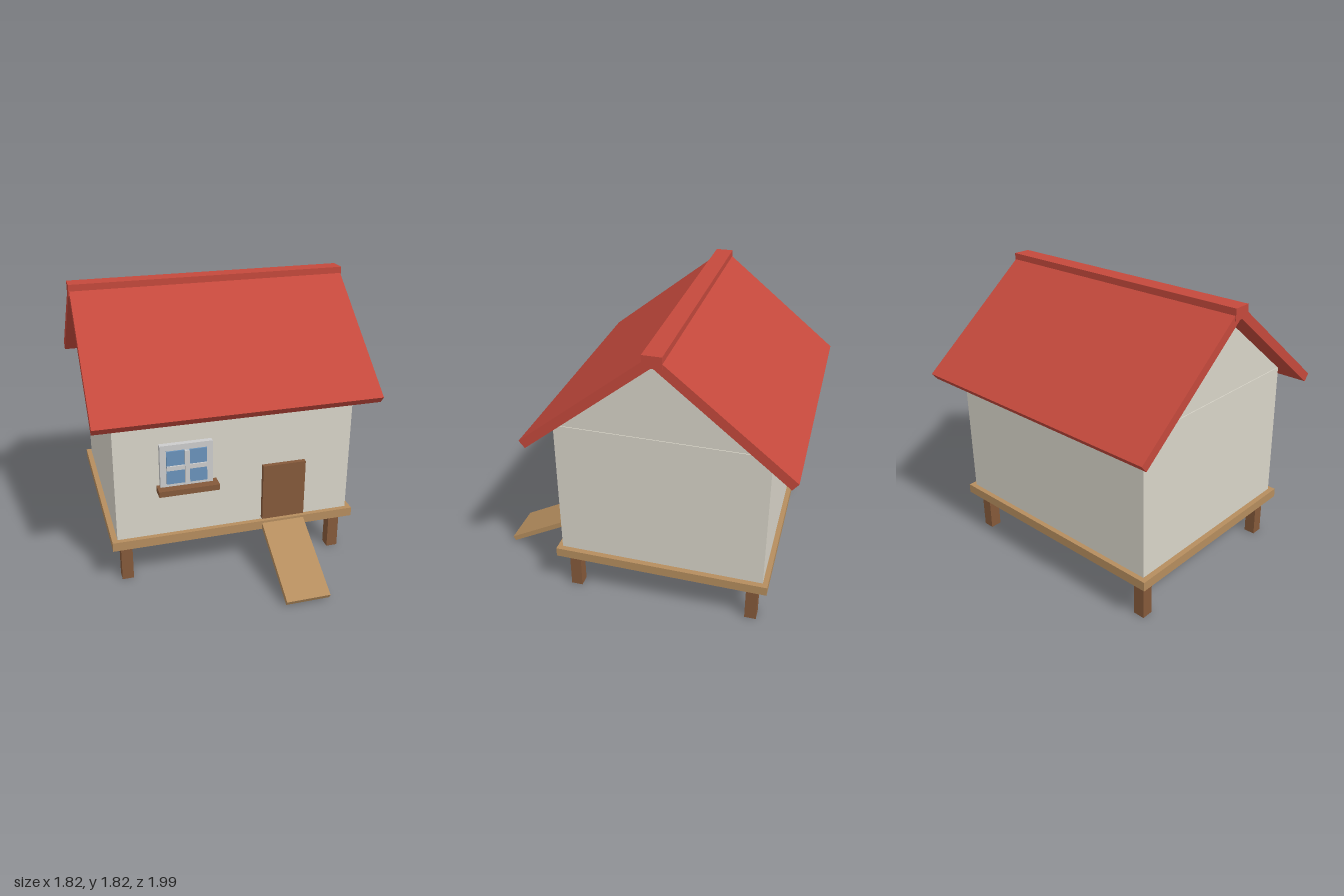
import * as THREE from 'three';

const paint = (color) => new THREE.MeshStandardMaterial({ color });
const MID_Z = -0.18; // the house sits back from the ramp

export function createModel() {
  const house = new THREE.Group();
  house.name = 'henHouse';
  const wall = paint(0xd8d4c8);
  const roof = paint(0xc4493c);
  const plank = paint(0xb58d5e);
  const wood = paint(0x85593a);
  const frame = paint(0xd8d8d6);
  const glass = paint(0x6a93bb);

  // Box given by its limits on each axis
  const block = (name, mat, [x0, x1], [y0, y1], [z0, z1], parent = house) => {
    const mesh = new THREE.Mesh(new THREE.BoxGeometry(x1 - x0, y1 - y0, z1 - z0), mat);
    mesh.position.set((x0 + x1) / 2, (y0 + y1) / 2, (z0 + z1) / 2);
    mesh.name = name;
    parent.add(mesh);
    return mesh;
  };

  // Board whose top edge runs between two (z, y) points, thickness below it
  const board = (name, mat, [x0, x1], a, b, thickness) => {
    const dz = b[0] - a[0], dy = b[1] - a[1];
    const length = Math.hypot(dz, dy);
    const geo = new THREE.BoxGeometry(x1 - x0, thickness, length);
    geo.translate(0, -thickness / 2, length / 2);
    const mesh = new THREE.Mesh(geo, mat);
    mesh.position.set((x0 + x1) / 2, a[1], a[0]);
    mesh.rotation.x = -Math.atan2(dy, dz);
    mesh.name = name;
    house.add(mesh);
    return mesh;
  };

  // Legs and floor
  for (const x of [-0.715, 0.715]) {
    for (const z of [0.4, -0.765]) {
      block('leg', wood, [x - 0.037, x + 0.037], [0, 0.27], [z - 0.037, z + 0.037]);
    }
  }
  block('floor', plank, [-0.81, 0.81], [0.265, 0.325], [-0.862, 0.502]);

  // Walls and gable
  block('walls', wall, [-0.775, 0.775], [0.325, 1.23], [-0.83, 0.47]);
  const triangle = new THREE.Shape([
    new THREE.Vector2(-0.65, 1.23), new THREE.Vector2(0.65, 1.23), new THREE.Vector2(0, 1.752),
  ]);
  const gableGeo = new THREE.ExtrudeGeometry(triangle, { depth: 1.54, bevelEnabled: false });
  gableGeo.translate(0, 0, -0.77).rotateY(Math.PI / 2);
  const gable = new THREE.Mesh(gableGeo, wall);
  gable.name = 'gable';
  gable.position.z = MID_Z;
  house.add(gable);

  // Two roof slabs: built on the front slope, the back one turned about the ridge
  for (const side of [1, -1]) {
    const slab = board('roofSlab', roof, [-0.905, 0.905], [0.036, 1.798], [0.812, 1.174], 0.057);
    slab.position.z = MID_Z + side * 0.036;
    if (side < 0) slab.rotation.set(slab.rotation.x, Math.PI, 0, 'YXZ');
  }
  block('ridgeCap', roof, [-0.91, 0.91], [1.75, 1.823], [MID_Z - 0.057, MID_Z + 0.057]);

  // Door and ramp
  block('door', wood, [0.175, 0.462], [0.34, 0.727], [0.46, 0.5]);
  board('ramp', plank, [0.175, 0.462], [0.49, 0.316], [1.0, 0.04], 0.034);

  // Window with cross bars and sill
  const window = new THREE.Group();
  window.name = 'window';
  house.add(window);
  block('windowFrame', frame, [-0.495, -0.161], [0.66, 0.96], [0.46, 0.505], window);
  block('windowPane', glass, [-0.456, -0.2], [0.7, 0.922], [0.48, 0.515], window);
  block('uprightBar', frame, [-0.342, -0.312], [0.7, 0.922], [0.49, 0.527], window);
  block('crossBar', frame, [-0.456, -0.2], [0.796, 0.825], [0.49, 0.525], window);
  block('windowSill', wood, [-0.515, -0.13], [0.64, 0.678], [0.46, 0.56], window);

  return house;
}
